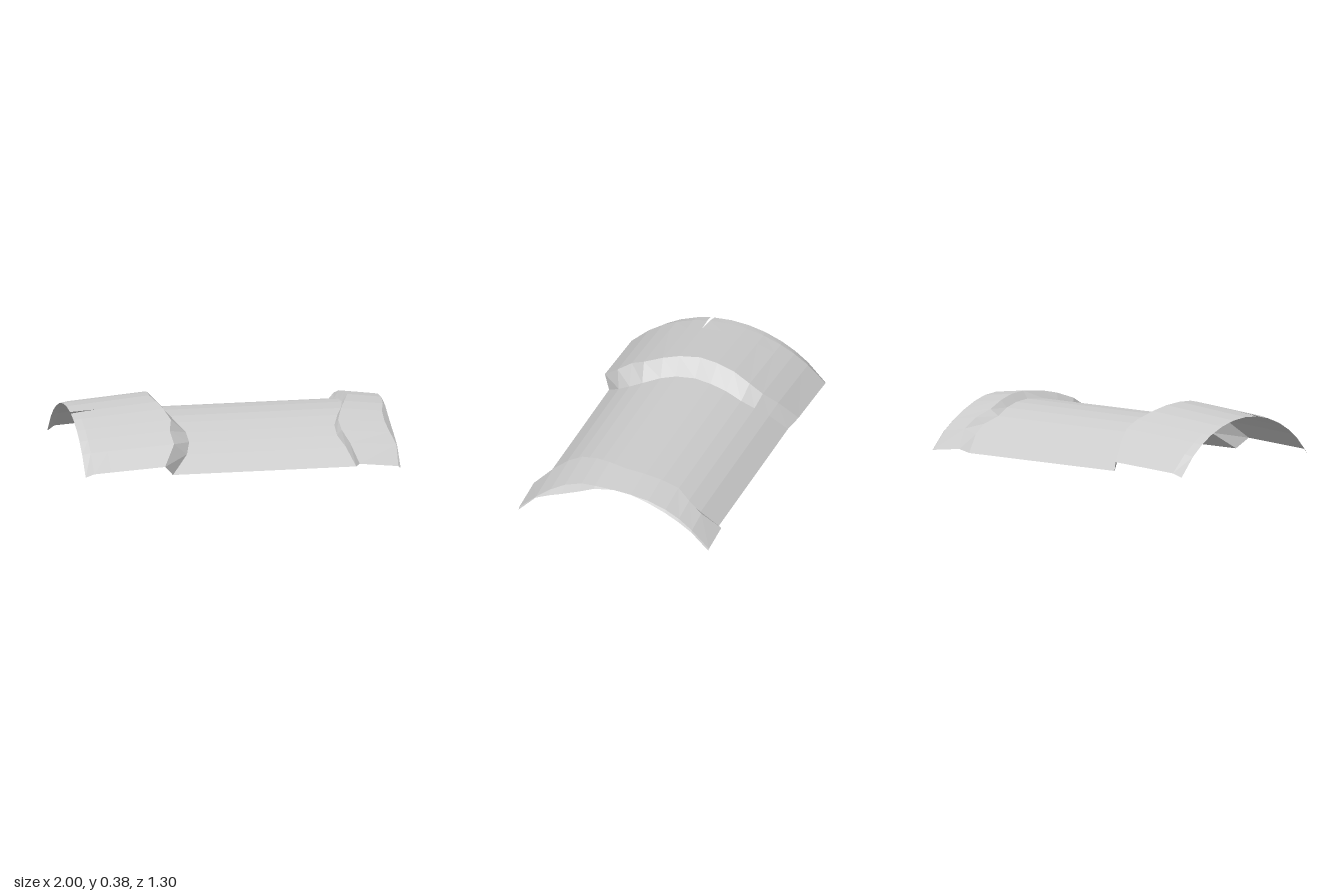
import * as THREE from 'three';

const material = new THREE.MeshStandardMaterial({ color: 0xcccccc, flatShading: true, side: THREE.DoubleSide });

// Columns across the arch, from back edge (-1) to front edge (1); .205 is doubled for the slit
const U = [-1, -.82, -.68, -.54, -.36, -.18, 0, .205, .205, .36, .54, .68, .82, 1];
const SLIT = 7;

// Wavy outlines (x per column) of the two raised steps and the free end
const sleeveRidge = [-.49, -.44, -.41, -.42, -.45, -.465, -.475, -.455, -.455, -.43, -.405, -.43, -.42, -.5];
const sleeveFoot = [-.44, -.395, -.36, -.345, -.36, -.37, -.38, -.37, -.37, -.345, -.305, -.30, -.33, -.44];
const capFoot = [.73, .765, .765, .72, .74, .75, .75, .72, .72, .68, .64, .64, .68, .725];
const capRidge = [.78, .83, .81, .765, .775, .785, .785, .74, .74, .70, .66, .665, .70, .74];
const capEnd = [.99, .99, .985, .985, .99, 1, 1, .985, .985, .96, .955, .97, .995, .985];

const all = (x) => U.map(() => x);

// One arched station: x per column, half width, edge height, crown height
function station(xs, w, edge, crown, slitGap = 0, drop = () => 0) {
  const s = crown - edge;
  const R = (w * w + s * s) / (2 * s);
  return U.map((u, j) => {
    const gap = j === SLIT ? -slitGap : j === SLIT + 1 ? slitGap : 0;
    const z = u * w + gap;
    return [xs[j], crown - R + Math.sqrt(R * R - z * z) - drop(j), z];
  });
}

// Skin a list of stations, leaving the slit open
function loft(name, stations) {
  const n = U.length, index = [];
  for (let i = 0; i < stations.length - 1; i++) {
    for (let j = 0; j < n - 1; j++) {
      if (j === SLIT) continue;
      const a = i * n + j, b = a + 1, c = a + n, d = c + 1;
      index.push(a, b, c, c, b, d);
    }
  }
  const geometry = new THREE.BufferGeometry();
  geometry.setAttribute('position', new THREE.Float32BufferAttribute(stations.flat(2), 3));
  geometry.setIndex(index);
  geometry.computeVertexNormals();
  const mesh = new THREE.Mesh(geometry, material);
  mesh.name = name;
  return mesh;
}

export function createModel() {
  const group = new THREE.Group();
  group.name = 'archedGuard';

  const panelStart = station(sleeveFoot, .6, .015, .285);
  const panelEnd = station(capFoot, .6, .015, .285);

  // Raised sleeve with a turned-in end, a slit and a sloping step
  group.add(loft('sleeve', [
    station(all(-1), .625, .03, .337, .013),
    station(all(-.95), .65, .055, .343, .008),
    station(all(-.84), .65, .062, .352),
    station(sleeveRidge, .652, .082, .384),
    panelStart,
  ]));

  // Lower middle panel
  group.add(loft('middlePanel', [panelStart, panelEnd]));

  // Raised cap with a steep step and a lip turned down at the free end
  group.add(loft('endCap', [
    panelEnd,
    station(capRidge, .637, .04, .333),
    station(capEnd, .637, .014, .305),
    station(all(1), .637, .014, .305, 0, (j) => (1 - capEnd[j]) * .9),
  ]));

  return group;
}
